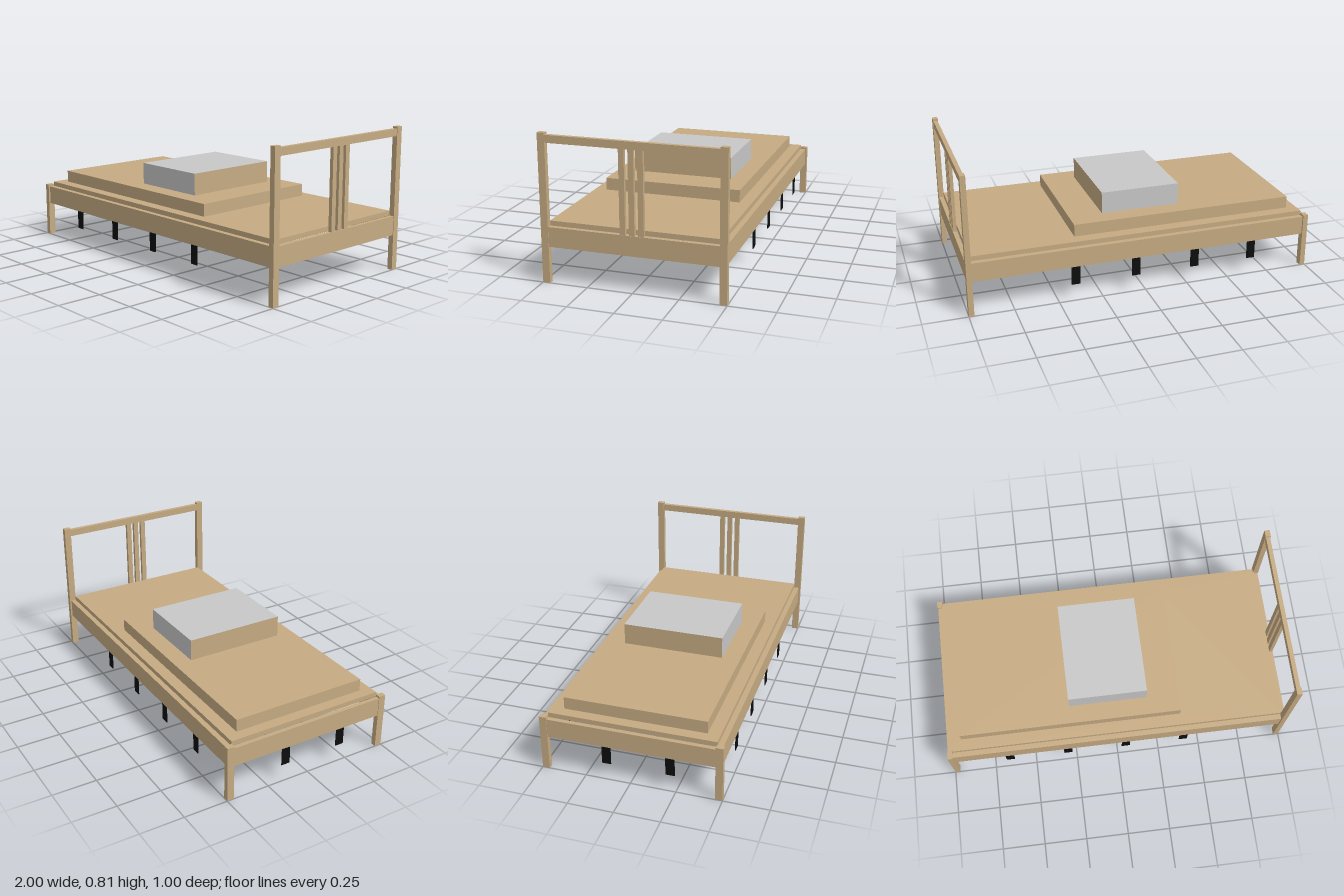
import * as THREE from 'three';

export function createModel() {
  const model = new THREE.Group();
  const mat = (name, color, side = THREE.FrontSide) => {
    const m = new THREE.MeshStandardMaterial({ color, side });
    m.name = name;
    return m;
  };
  const wood = mat('wood', 0xc6ab82, THREE.DoubleSide);
  const grey = mat('grey', 0xc8c8c8);
  const black = mat('black', 0x0d0d0d);

  const add = (name, geometry, material) => {
    const mesh = new THREE.Mesh(geometry, material);
    mesh.name = name;
    model.add(mesh);
    return mesh;
  };
  // Box given by its limits on each axis
  const boxGeometry = ([x0, x1], [y0, y1], [z0, z1]) =>
    new THREE.BoxGeometry(x1 - x0, y1 - y0, z1 - z0)
      .translate((x0 + x1) / 2, (y0 + y1) / 2, (z0 + z1) / 2);
  const box = (name, x, y, z, material = wood) => add(name, boxGeometry(x, y, z), material);
  // Box keeping only some faces: 0 +x, 1 -x, 2 +y, 3 -y, 4 +z, 5 -z
  const shell = (name, x, y, z, faces) => {
    const g = boxGeometry(x, y, z);
    const all = Array.from(g.index.array);
    g.setIndex(faces.flatMap((f) => all.slice(f * 6, f * 6 + 6)));
    g.clearGroups();
    return add(name, g, wood);
  };

  // Posts and side rails
  for (const s of [1, -1]) {
    const zPost = s > 0 ? [0.46, 0.5] : [-0.5, -0.46];
    const zRail = s > 0 ? [0.46, 0.49] : [-0.49, -0.46];
    box('headPost', [0.97, 1], [0, 0.807], zPost);
    box('footPost', [-1, -0.97], [0, 0.32], zPost);
    box('sideRail', [-0.97, 0.97], [0.2, 0.308], zRail);
  }

  // End rails and headboard
  box('footRail', [-0.997, -0.973], [0.2, 0.308], [-0.46, 0.46]);
  box('headRail', [0.973, 0.997], [0.2, 0.308], [-0.46, 0.46]);
  box('headboardTopRail', [0.973, 0.997], [0.755, 0.796], [-0.46, 0.46]);
  for (const z of [-0.05, 0, 0.05]) {
    box('headboardSlat', [0.975, 0.995], [0.308, 0.755], [z - 0.015, z + 0.015]);
  }

  // Base: thin sheet with an opening below the hollow mattress
  const sheet = new THREE.Shape([[-0.97, -0.46], [0.97, -0.46], [0.97, 0.46], [-0.97, 0.46]]
    .map(([x, y]) => new THREE.Vector2(x, y)));
  sheet.holes.push(new THREE.Path([[-0.91, -0.393], [-0.91, 0.393], [0.38, 0.393], [0.38, -0.393]]
    .map(([x, y]) => new THREE.Vector2(x, y))));
  add('baseSheet', new THREE.ShapeGeometry(sheet).rotateX(-Math.PI / 2).translate(0, 0.335, 0), wood);
  shell('baseEdge', [-0.97, 0.97], [0.308, 0.335], [-0.46, 0.46], [0, 1, 4, 5]);
  shell('mattress', [-0.91, 0.38], [0.335, 0.405], [-0.393, 0.393], [0, 1, 2, 4, 5]);

  // Cushion with wood-coloured ends
  box('cushion', [-0.265, 0.19], [0.406, 0.53], [-0.29, 0.29], [wood, wood, grey, grey, grey, grey]);

  // Flat support tabs under the side rails and the foot rail
  for (const x of [-0.65, -0.3, 0.05, 0.4]) {
    for (const z of [-0.482, 0.482]) {
      box('sideTab', [x - 0.025, x + 0.025], [0.09, 0.2], [z - 0.002, z + 0.002], black);
    }
  }
  for (const z of [-0.135, 0.215]) {
    box('footTab', [-0.987, -0.983], [0.09, 0.2], [z - 0.025, z + 0.025], black);
  }

  return model;
}
